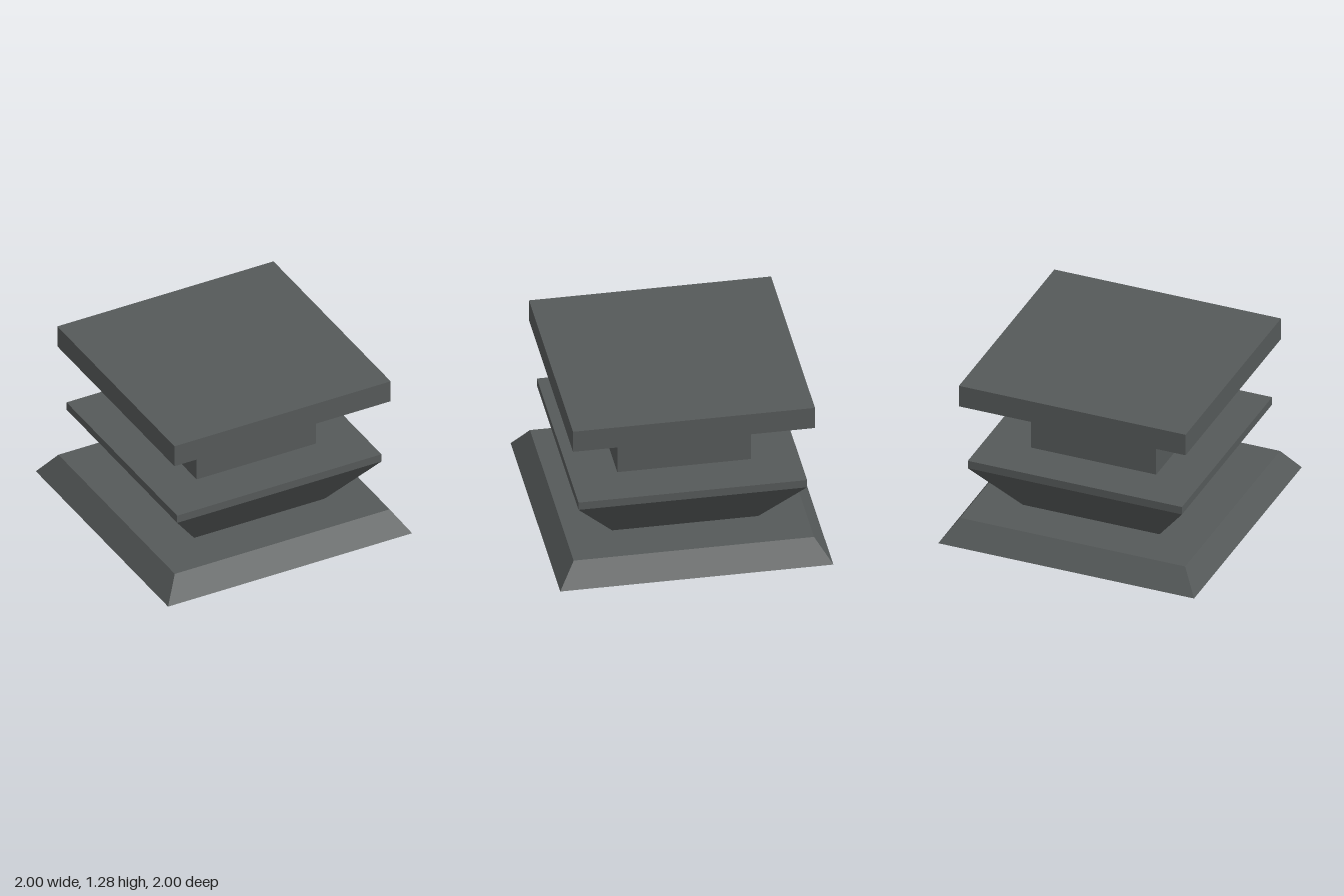
import * as THREE from 'three';

// Square frustum: half-widths at the bottom and top, between two heights
function squareTier(bottom, top, y0, y1) {
  const g = new THREE.CylinderGeometry(top * Math.SQRT2, bottom * Math.SQRT2, y1 - y0, 4);
  g.rotateY(Math.PI / 4);
  g.translate(0, (y0 + y1) / 2, 0);
  const flat = g.toNonIndexed();
  flat.computeVertexNormals();
  return flat;
}

export function createModel() {
  const group = new THREE.Group();
  group.name = 'squarePedestal';
  const stone = new THREE.MeshStandardMaterial({ color: 0x555959, flatShading: true });
  stone.name = 'darkGreyStone';

  // name, bottom half-width, top half-width, bottom height, top height
  const tiers = [
    ['base', 1, 0.88, 0, 0.175],
    ['flaredBowl', 0.535, 0.837, 0.175, 0.578],
    ['bowlRim', 0.837, 0.837, 0.578, 0.64],
    ['neck', 0.489, 0.489, 0.64, 1.026],
    ['capUnderside', 0.489, 0.886, 1.026, 1.113],
    ['capSlab', 0.886, 0.886, 1.113, 1.285],
  ];
  for (const [name, bottom, top, y0, y1] of tiers) {
    const mesh = new THREE.Mesh(squareTier(bottom, top, y0, y1), stone);
    mesh.name = name;
    group.add(mesh);
  }
  return group;
}
